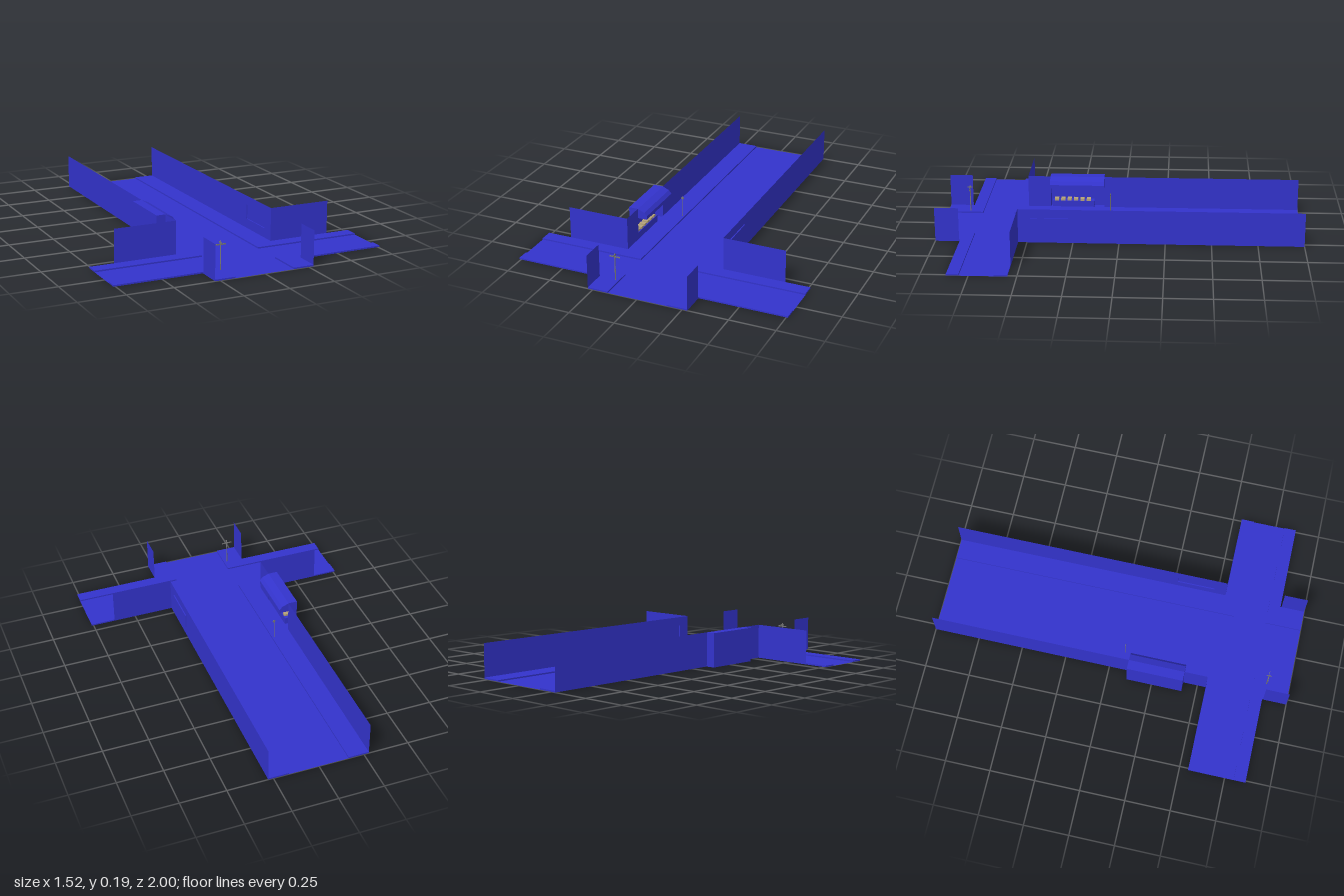
import * as THREE from 'three';

const material = (color) => new THREE.MeshStandardMaterial({ color, side: THREE.DoubleSide, flatShading: true });
const blue = material(0x3333cc);
const grey = material(0x777777);
const tan = material(0xb5a27a);

const W = 0.278, CURB_X = 0.165, END_X = 0.76, H = 0.19, CURB = 0.008;
const BACK_Z = 0.548, FRONT_Z = 0.865;

const shapeOf = (points) => new THREE.Shape(points.map(([x, y]) => new THREE.Vector2(x, y)));

export function createModel() {
  const model = new THREE.Group();

  const add = (name, geometry, mat = blue, parent = model) => {
    const mesh = new THREE.Mesh(geometry, mat);
    mesh.name = name;
    parent.add(mesh);
    return mesh;
  };
  const box = (name, x0, x1, y0, y1, z0, z1, mat, parent) =>
    add(name, new THREE.BoxGeometry(x1 - x0, y1 - y0, z1 - z0)
      .translate((x0 + x1) / 2, (y0 + y1) / 2, (z0 + z1) / 2), mat, parent);
  const rod = (name, r, h, x, y, z, parent) =>
    add(name, new THREE.CylinderGeometry(r, r, h, 8).translate(x, y + h / 2, z), grey, parent);

  // Wall in the plane x = const, with an optional rectangular hole [z0, z1, y0, y1]
  const sideWall = (name, x, z0, z1, y0 = 0, hole) => {
    const shape = shapeOf([[z0, y0], [z1, y0], [z1, H], [z0, H]]);
    if (hole) {
      const [a, b, c, d] = hole;
      shape.holes.push(shapeOf([[a, c], [a, d], [b, d], [b, c]]));
    }
    return add(name, new THREE.ShapeGeometry(shape).rotateY(-Math.PI / 2).translate(x, 0, 0));
  };

  // Cross-shaped road surface
  const r = CURB_X, e = END_X;
  const roadShape = shapeOf([[-r, -1], [r, -1], [r, 0.62], [e, 0.62], [e, 0.8], [r, 0.8],
    [r, 1], [-r, 1], [-r, 0.8], [-e, 0.8], [-e, 0.62], [-r, 0.62]]);
  add('road', new THREE.ShapeGeometry(roadShape).rotateX(Math.PI / 2));

  // Raised L-shaped pavements on the four corners, and the flat fronts beside them
  for (const s of [-1, 1]) {
    const side = s > 0 ? 'left' : 'right';
    const corners = {
      Back: [[r, -1], [W, -1], [W, BACK_Z], [e, BACK_Z], [e, 0.62], [r, 0.62]],
      Front: [[r, 1], [W, 1], [W, FRONT_Z], [e, FRONT_Z], [e, 0.8], [r, 0.8]],
    };
    for (const [end, points] of Object.entries(corners)) {
      const shape = shapeOf(points.map(([x, z]) => [x * s, z]));
      const geometry = new THREE.ExtrudeGeometry(shape, { depth: CURB, bevelEnabled: false });
      add(side + end + 'Pavement', geometry.rotateX(Math.PI / 2).translate(0, CURB, 0));
    }
    sideWall(side + 'FrontWall', s * W, FRONT_Z + 0.005, 1);
    add(side + 'CrossStreetWall', new THREE.PlaneGeometry(0.346, H)
      .translate(s * (W + 0.173), H / 2, BACK_Z));
  }

  // Long left wall with a shallow window recess
  const win = [0.27, 0.48, 0.06, 0.14];
  sideWall('leftLongWall', W, -1, BACK_Z, 0, win);
  const [wz0, wz1, wy0, wy1] = win;
  const pane = 0.006;
  add('windowPane', new THREE.PlaneGeometry(wz1 - wz0, wy1 - wy0).rotateY(Math.PI / 2)
    .translate(W + pane, (wy0 + wy1) / 2, (wz0 + wz1) / 2));
  for (const y of [wy0, wy1])
    add('windowSill', new THREE.PlaneGeometry(pane, wz1 - wz0).rotateX(Math.PI / 2)
      .translate(W + pane / 2, y, (wz0 + wz1) / 2));
  for (const z of [wz0, wz1])
    add('windowJamb', new THREE.PlaneGeometry(pane, wy1 - wy0)
      .translate(W + pane / 2, (wy0 + wy1) / 2, z));

  // Long right wall, interrupted by the shop recess
  const z0 = 0.11, z1 = 0.42, deep = -0.33, mid = (deep - W) / 2, zc = (z0 + z1) / 2;
  sideWall('rightLongWallBack', -W, -1, z0);
  sideWall('rightLongWallFront', -W, z1, BACK_Z);
  sideWall('shopBackWall', deep, z0, z1);
  for (const z of [z0, z1])
    add('shopSideWall', new THREE.PlaneGeometry(-deep - W, H).translate(mid, H / 2, z));
  for (const y of [0, H])
    add(y ? 'shopCeiling' : 'shopFloor', new THREE.PlaneGeometry(-deep - W, z1 - z0)
      .rotateX(Math.PI / 2).translate(mid, y, zc));

  // Rounded awning over the shop front
  const awning = shapeOf([[-W, 0.135], [-0.225, 0.135], [-0.225, 0.155], [-0.24, 0.174], [-W, H]]);
  add('awning', new THREE.ExtrudeGeometry(awning, { depth: z1 - z0, bevelEnabled: false }).translate(0, 0, z0));

  // Display counter with a row of small crates
  const shop = new THREE.Group();
  shop.name = 'shopDisplay';
  model.add(shop);
  box('counter', deep, -W - 0.006, 0, 0.04, z0 + 0.06, z1 - 0.01, blue, shop);
  for (let i = 0; i < 6; i++) {
    const z = 0.19 + i * 0.037;
    box('crate', deep + 0.008, -W - 0.01, 0.04, 0.052, z, z + 0.024, tan, shop);
  }

  // Street sign post with two crossed plates
  const post = new THREE.Group();
  post.name = 'streetSign';
  post.position.set(-0.185, 0, 0.873);
  model.add(post);
  rod('signPole', 0.003, 0.16, 0, 0, 0, post);
  box('signPlateAcross', -0.03, 0.03, 0.138, 0.145, -0.001, 0.001, grey, post);
  box('signPlateAlong', -0.001, 0.001, 0.147, 0.154, -0.015, 0.015, grey, post);

  // Small round-headed stop post
  const stop = new THREE.Group();
  stop.name = 'stopPost';
  stop.position.set(-0.178, 0, 0.07);
  model.add(stop);
  rod('stopPole', 0.002, 0.12, 0, 0, 0, stop);
  add('stopDisc', new THREE.CylinderGeometry(0.008, 0.008, 0.003, 12)
    .rotateX(Math.PI / 2).translate(0.002, 0.12, 0), grey, stop);

  return model;
}
